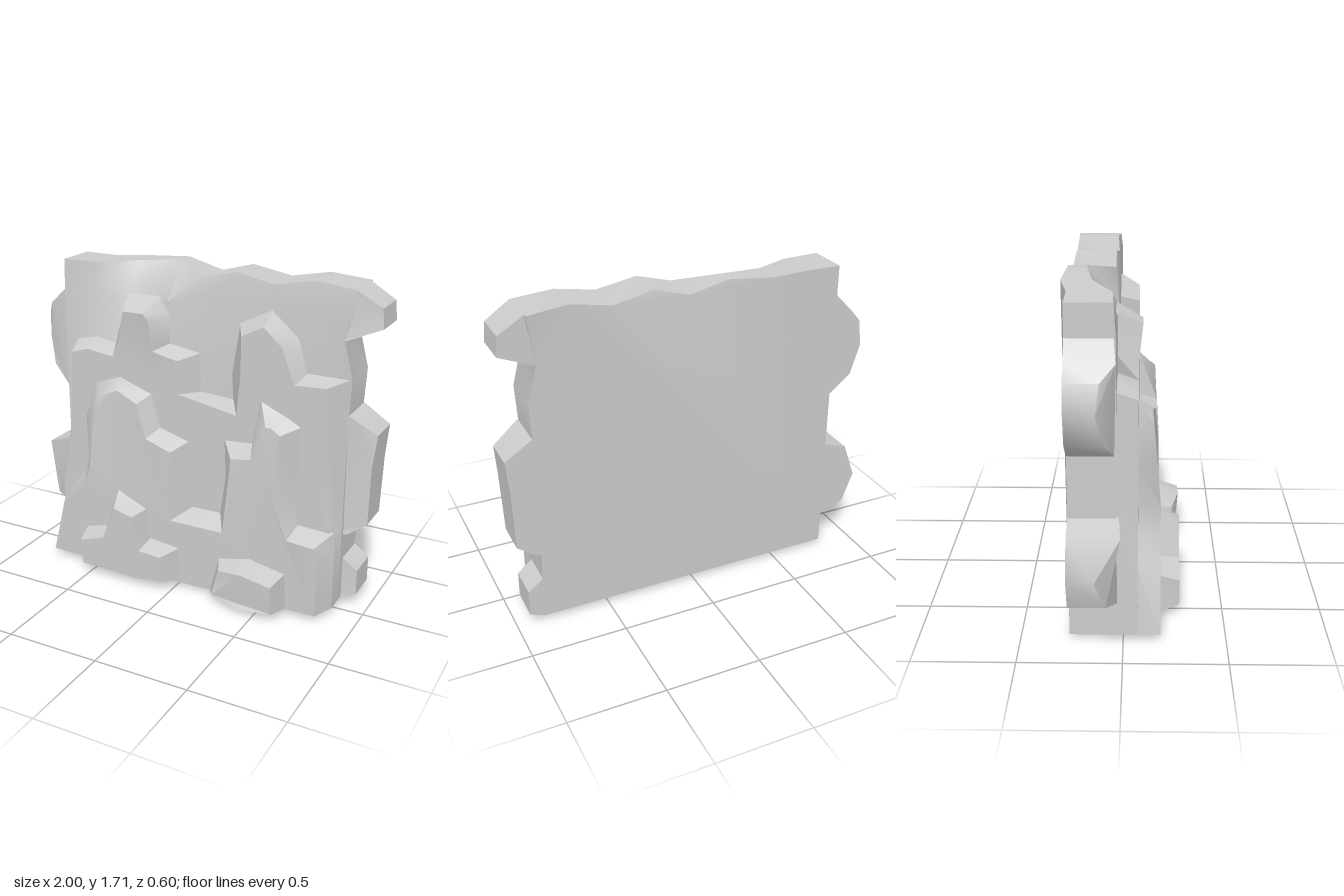
import * as THREE from 'three';
import { toCreasedNormals } from 'three/addons/utils/BufferGeometryUtils.js';

const material = new THREE.MeshStandardMaterial({ color: 0xcccccc });

// Joins rings of [x, y, z] (counter-clockwise from the front, back to front) and caps both ends
function loft(name, rings) {
  const pos = [];
  const tri = (a, b, c) => pos.push(...a, ...b, ...c);
  for (let r = 0; r < rings.length - 1; r++) {
    const a = rings[r], b = rings[r + 1], n = a.length;
    for (let i = 0; i < n; i++) {
      const j = (i + 1) % n;
      tri(a[i], a[j], b[j]);
      tri(a[i], b[j], b[i]);
    }
  }
  const cap = (ring, front) => {
    const flat = ring.map(([x, y]) => new THREE.Vector2(x, y));
    for (const [i, j, k] of THREE.ShapeUtils.triangulateShape(flat, [])) {
      const ccw = THREE.ShapeUtils.area([flat[i], flat[j], flat[k]]) > 0;
      if (ccw === front) tri(ring[i], ring[j], ring[k]);
      else tri(ring[i], ring[k], ring[j]);
    }
  };
  cap(rings[0], false);
  cap(rings[rings.length - 1], true);
  const geometry = new THREE.BufferGeometry();
  geometry.setAttribute('position', new THREE.Float32BufferAttribute(pos, 3));
  const mesh = new THREE.Mesh(toCreasedNormals(geometry, 0.75), material);
  mesh.name = name;
  return mesh;
}

// Rock layer: each point is [foot x, foot y, rim x, rim y, own rim z if it differs]
const ledge = (name, zFoot, zRim, points) => loft(name, [
  points.map(([x, y]) => [x, y, zFoot]),
  points.map(([, , x, y, z = zRim]) => [x, y, z]),
]);

// Block on a side edge: each point is [x, y, front z]
const sideRock = (name, points) => loft(name, [
  points.map(([x, y]) => [x, y, -0.26]),
  points.map(([x, y, z]) => [x, y, z]),
]);

export function createModel() {
  const group = new THREE.Group();
  group.name = 'cliffWall';

  // Back wall: [x, y, back z, top edge z, inset y]
  const wall = [
    [-0.8, 0.03, -0.26, -0.05, 0.03], [0.85, 0.03, -0.26, -0.05, 0.03],
    [0.85, 0.45, -0.26, -0.05, 0.45], [0.85, 1.05, -0.26, -0.05, 1.05],
    [0.86, 1.25, -0.26, -0.08, 1.25], [0.81, 1.44, -0.26, -0.04, 1.44],
    [0.85, 1.69, -0.28, -0.04, 1.6], [0.64, 1.71, -0.27, -0.05, 1.6],
    [0.43, 1.67, -0.27, -0.04, 1.58], [0.22, 1.71, -0.26, -0.05, 1.6],
    [0.04, 1.66, -0.27, -0.05, 1.56], [-0.16, 1.71, -0.28, -0.19, 1.52],
    [-0.4, 1.69, -0.3, -0.15, 1.52], [-0.6, 1.68, -0.26, -0.05, 1.55],
    [-0.8, 1.68, -0.26, -0.04, 1.5],
  ];
  group.add(loft('backWall', [
    wall.map(([x, y, z]) => [x, y, z]),
    wall.map(([x, y, , z]) => [x, y, z]),
    wall.map(([x, , , , y]) => [x, y, -0.03]),
  ]));

  // Upper ledge
  group.add(ledge('upperLedge', -0.04, 0.07, [
    [-0.8, 0.03, -0.8, 0.03], [0.85, 0.03, 0.85, 0.03], [0.85, 0.44, 0.85, 0.42],
    [0.85, 0.52, 0.79, 0.5], [0.85, 1.0, 0.78, 1.0],
    [0.86, 1.25, 0.77, 1.22], [0.63, 1.25, 0.6, 1.21], [0.58, 1.42, 0.53, 1.39],
    [0.43, 1.55, 0.43, 1.48], [0.25, 1.46, 0.31, 1.42], [0.21, 1.19, 0.31, 1.22],
    [0.22, 1.05, 0.29, 1.0], [0.05, 1.06, -0.05, 1.06], [0.04, 1.27, -0.05, 1.24],
    [-0.14, 1.3, -0.2, 1.27], [-0.14, 1.45, -0.21, 1.43, 0.09], [-0.21, 1.54, -0.24, 1.47, 0.09],
    [-0.4, 1.54, -0.36, 1.47, 0.09], [-0.46, 1.35, -0.4, 1.3], [-0.43, 1.25, -0.44, 1.21],
    [-0.6, 1.28, -0.6, 1.23], [-0.73, 1.25, -0.7, 1.2], [-0.79, 0.8, -0.72, 0.8],
    [-0.8, 0.42, -0.79, 0.42],
  ]));

  // Middle ledge, with the deep notch in its centre
  group.add(ledge('middleLedge', 0.06, 0.18, [
    [-0.8, 0.03, -0.8, 0.03], [-0.2, 0.02, -0.2, 0.02], [0.85, 0.03, 0.8, 0.03],
    [0.85, 0.36, 0.8, 0.34], [0.84, 0.46, 0.78, 0.41], [0.65, 0.47, 0.63, 0.42],
    [0.64, 0.6, 0.56, 0.6], [0.65, 1.0, 0.57, 0.97, 0.16], [0.58, 1.04, 0.52, 1.0, 0.155],
    [0.42, 1.11, 0.49, 1.0, 0.155], [0.38, 0.87, 0.42, 0.82, 0.17], [0.22, 0.86, 0.31, 0.8, 0.17],
    [0.23, 0.65, 0.3, 0.66], [0.2, 0.44, 0.27, 0.38], [0.05, 0.44, -0.04, 0.38],
    [0.02, 0.81, -0.04, 0.77, 0.17], [-0.15, 0.86, -0.19, 0.82, 0.17], [-0.2, 1.04, -0.25, 1.0, 0.155],
    [-0.4, 1.11, -0.38, 1.05, 0.14], [-0.55, 1.06, -0.48, 1.0, 0.145], [-0.63, 0.85, -0.52, 0.85, 0.16],
    [-0.61, 0.63, -0.54, 0.6], [-0.65, 0.5, -0.58, 0.45], [-0.76, 0.4, -0.72, 0.35],
  ]));

  // Foot rocks
  group.add(ledge('footRockRight', 0.17, 0.28, [
    [-0.6, 0.03, -0.54, 0.05], [-0.2, 0.0, -0.2, 0.04], [0.02, 0.03, -0.04, 0.06],
    [0.02, 0.23, -0.05, 0.2], [-0.16, 0.25, -0.18, 0.21], [-0.18, 0.42, -0.22, 0.4],
    [-0.36, 0.5, -0.33, 0.43], [-0.43, 0.27, -0.4, 0.24], [-0.57, 0.23, -0.55, 0.19],
  ]));
  group.add(ledge('footRockLeft', 0.17, 0.3, [
    [0.2, 0.03, 0.25, 0.05, 0.26], [0.42, 0.02, 0.42, 0.03], [0.64, 0.03, 0.61, 0.05],
    [0.63, 0.23, 0.6, 0.2], [0.43, 0.27, 0.43, 0.23], [0.25, 0.23, 0.29, 0.2, 0.26],
  ]));

  // Rocks jutting from the side edges
  group.add(sideRock('upperRightSideRock', [
    [-0.75, 1.5, -0.04], [-0.8, 1.52, -0.04], [-0.89, 1.43, -0.03], [-0.95, 1.36, -0.1],
    [-0.97, 1.22, -0.12], [-0.92, 1.06, -0.08], [-0.81, 0.97, -0.04], [-0.75, 0.94, -0.04],
  ]));
  group.add(sideRock('lowerRightSideRock', [
    [-0.75, 0.64, -0.02], [-0.78, 0.66, -0.02], [-0.93, 0.61, -0.01], [-1.0, 0.42, -0.13],
    [-0.94, 0.26, -0.08], [-0.81, 0.21, -0.03], [-0.75, 0.2, -0.03],
  ]));
  group.add(sideRock('topLeftSideRock', [
    [0.78, 1.44, -0.03], [0.82, 1.44, -0.03], [0.99, 1.51, -0.06], [0.98, 1.61, -0.06],
    [0.85, 1.69, -0.04], [0.78, 1.66, -0.04],
  ]));
  group.add(sideRock('middleLeftSideRock', [
    [0.78, 0.41, -0.05], [0.87, 0.41, -0.05], [0.97, 0.48, -0.07], [0.98, 0.8, -0.05],
    [0.995, 0.97, -0.07], [0.86, 1.06, -0.03], [0.78, 1.06, -0.03],
  ]));
  group.add(sideRock('bottomLeftSideRock', [
    [0.78, 0.03, -0.07], [0.85, 0.03, -0.07], [0.93, 0.06, -0.08], [0.93, 0.2, -0.08],
    [0.85, 0.26, -0.07], [0.78, 0.26, -0.07],
  ]));
  return group;
}
